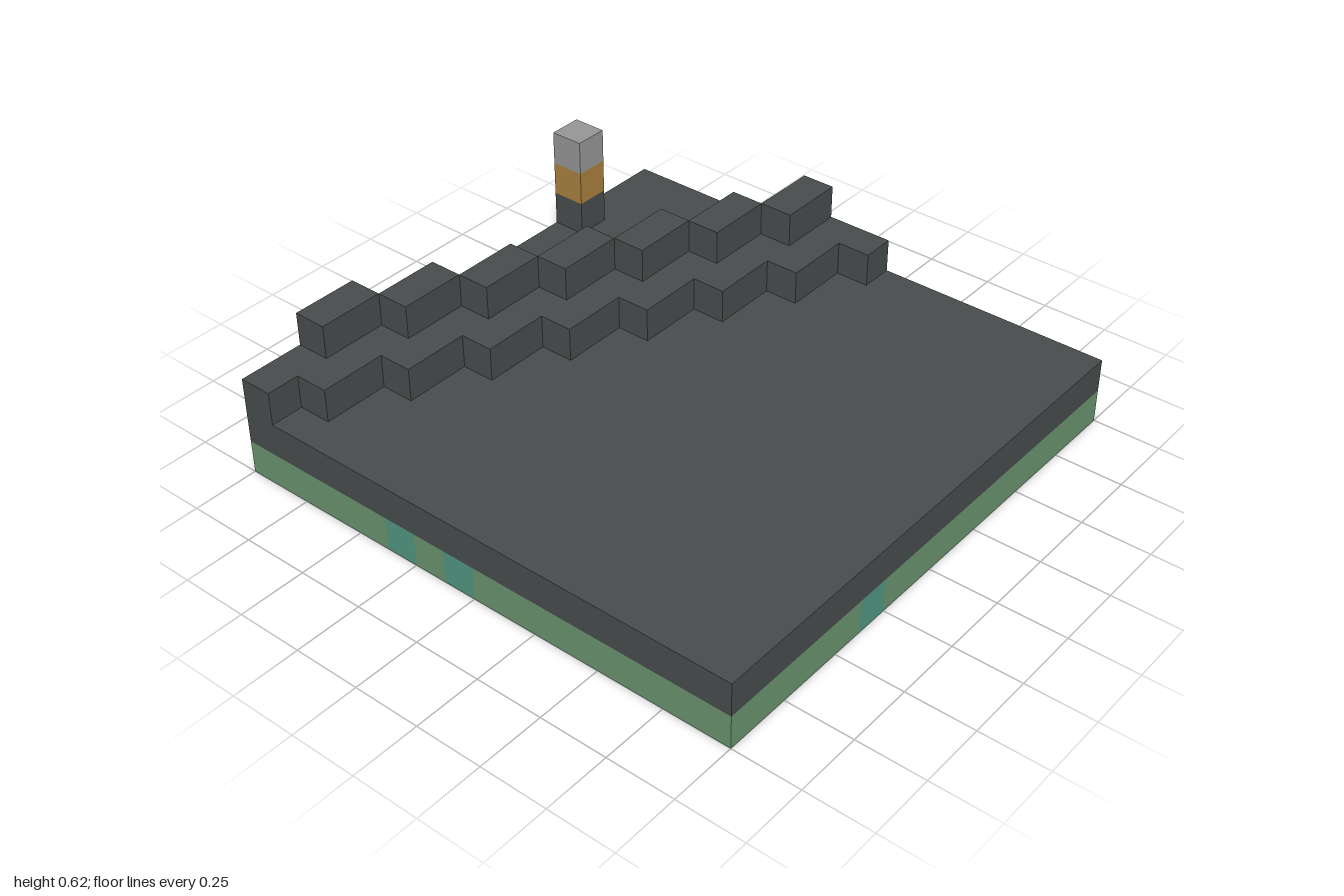
import * as THREE from 'three';

const N = 16, S = 2 / N; // blocks per side, block size

// Six block faces: outward normal and two edge directions (u x v = normal)
const FACES = [
  [[1, 0, 0], [0, 1, 0], [0, 0, 1]], [[-1, 0, 0], [0, 0, 1], [0, 1, 0]],
  [[0, 1, 0], [0, 0, 1], [1, 0, 0]], [[0, -1, 0], [1, 0, 0], [0, 0, 1]],
  [[0, 0, 1], [1, 0, 0], [0, 1, 0]], [[0, 0, -1], [0, 1, 0], [1, 0, 0]],
];

export function createModel() {
  const material = (name, color) => {
    const m = new THREE.MeshStandardMaterial({ color });
    m.name = name;
    return m;
  };
  const stone = material('dark stone', 0x484c4c);
  const moss = material('green', 0x69936d);
  const teal = material('teal', 0x509680);
  const amber = material('amber', 0xa8803f);
  const grey = material('grey', 0x969696);

  const parts = new Map(); // part name -> { material, cells }
  const filled = new Set();
  const key = (x, y, z) => `${x},${y},${z}`;
  const put = (name, mat, x, y, z) => {
    if (!parts.has(name)) parts.set(name, { mat, cells: [] });
    parts.get(name).cells.push([x, y, z]);
    filled.add(key(x, y, z));
  };

  // Teal blocks in the green bottom layer: "column,row"
  const tealCells = new Set([
    '15,10', '13,7', '10,4', '9,4', '10,5', '9,5', // right half
    '13,14', '12,14', '12,13', '11,13',
    '9,0', '8,0', '4,0', '2,0', '3,1', '2,1', '2,2', '1,2', '0,1', '0,4', '3,4', // back
    '7,11', '7,12', '6,12', '7,13', '6,13', '7,14', '6,14', '7,15', '5,15', // front
  ]);

  for (let z = 0; z < N; z++) {
    // Bottom layer and stone floor
    for (let x = 0; x < N; x++) {
      if (tealCells.has(`${x},${z}`)) put('tealPatches', teal, x, 0, z);
      else put('greenBase', moss, x, 0, z);
      put('stoneFloor', stone, x, 1, z);
    }
    // Diagonal stepped wall: wide lower course, one-block upper course
    const shift = Math.ceil(z / 2);
    for (let x = Math.max(0, 5 - shift); x < 9 - shift; x++) put('lowerWall', stone, x, 2, z);
    const top = 6 - Math.floor(z / 2);
    if (top >= 0) put('upperWall', stone, top, 3, z);
  }

  // Lamp post on the left edge behind the wall
  put('lampPost', stone, 0, 2, 3);
  put('lampLight', amber, 0, 3, 3);
  put('lampCap', grey, 0, 4, 3);

  // One mesh per part, keeping only exposed faces
  const group = new THREE.Group();
  for (const [name, { mat, cells }] of parts) {
    const pos = [], nor = [], idx = [];
    for (const c of cells) {
      for (const [n, u, v] of FACES) {
        if (filled.has(key(c[0] + n[0], c[1] + n[1], c[2] + n[2]))) continue;
        const first = pos.length / 3;
        for (const [a, b] of [[-0.5, -0.5], [0.5, -0.5], [0.5, 0.5], [-0.5, 0.5]]) {
          const p = [0, 1, 2].map((i) => (c[i] + 0.5 + n[i] / 2 + u[i] * a + v[i] * b) * S);
          pos.push(p[0] - 1, p[1], p[2] - 1);
          nor.push(...n);
        }
        idx.push(first, first + 1, first + 2, first, first + 2, first + 3);
      }
    }
    const geo = new THREE.BufferGeometry();
    geo.setAttribute('position', new THREE.Float32BufferAttribute(pos, 3));
    geo.setAttribute('normal', new THREE.Float32BufferAttribute(nor, 3));
    geo.setIndex(idx);
    const mesh = new THREE.Mesh(geo, mat);
    mesh.name = name;
    group.add(mesh);
  }
  return group;
}
